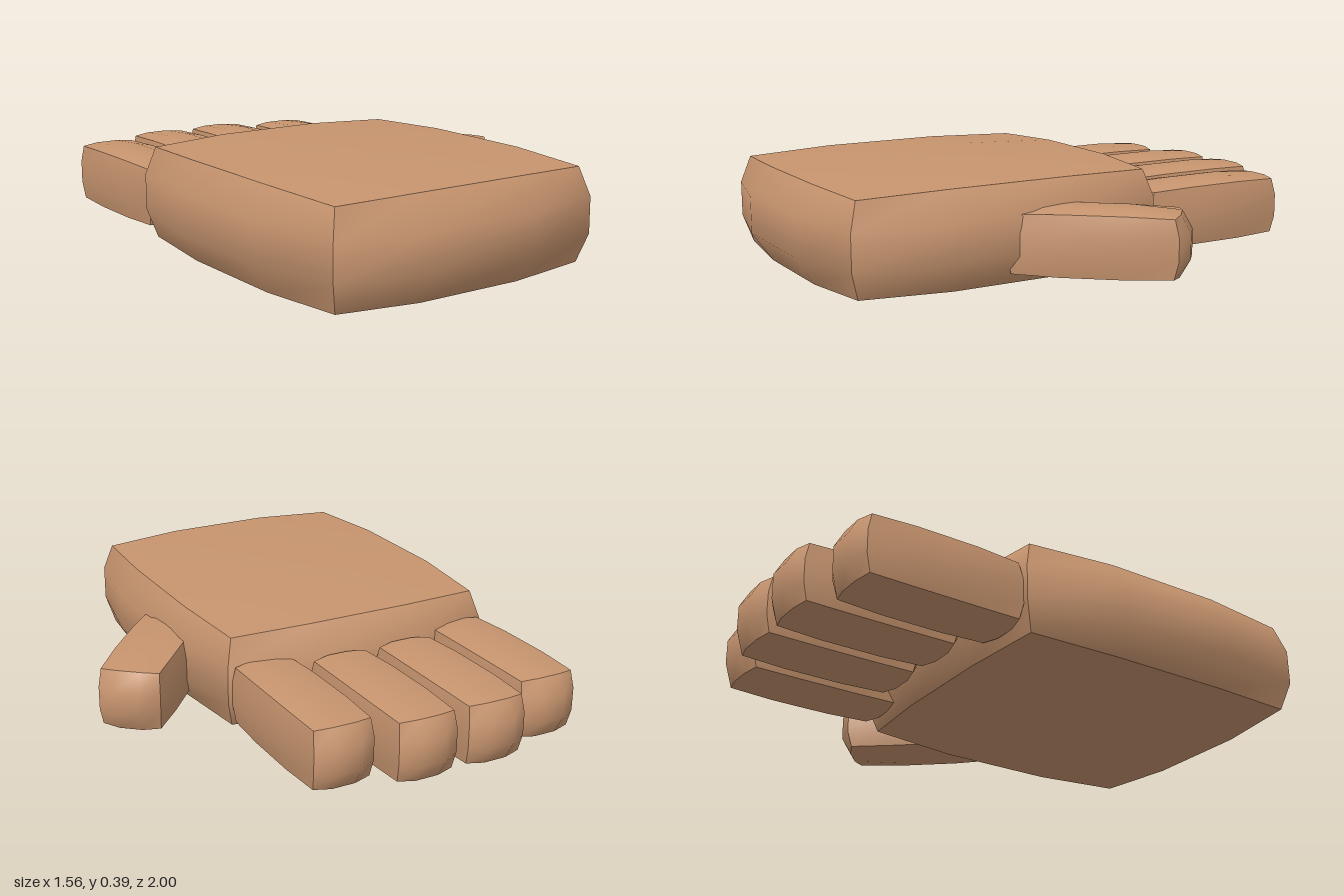
import * as THREE from 'three';

// Box whose six sides bulge outwards, smooth within each side and sharp between sides.
// Vertices on edges and corners are pulled in; hx, hy, hz are the half sizes at the bulge.
function bulgedBox(hx, hy, hz, yPull = [1, 0.89, 0.85]) {
  const geo = new THREE.BoxGeometry(2, 2, 2, 3, 3, 3);
  const pos = geo.attributes.position;
  const pull = [1, 0.89, 0.843]; // side, edge, corner
  const inner = [0.36, 0.34, 0.34];
  for (let i = 0; i < pos.count; i++) {
    const v = [pos.getX(i), pos.getY(i), pos.getZ(i)];
    const outer = v.map((c) => Math.abs(c) > 0.9);
    const k = outer.filter(Boolean).length - 1;
    const [x, y, z] = v.map((c, a) =>
      Math.sign(c) * (outer[a] ? (a === 1 ? yPull : pull)[k] : inner[k]));
    pos.setXYZ(i, x * hx, y * hy, z * hz);
  }
  geo.computeVertexNormals();
  return geo;
}

export function createModel() {
  const hand = new THREE.Group();
  hand.name = 'hand';
  const skin = new THREE.MeshStandardMaterial({ color: 0xc8956f });
  skin.name = 'skin';

  const add = (name, geo, x, y, z, turn = 0) => {
    const mesh = new THREE.Mesh(geo, skin);
    mesh.name = name;
    mesh.position.set(x, y, z);
    mesh.rotation.y = turn;
    hand.add(mesh);
  };

  // Palm
  add('palm', bulgedBox(0.605, 0.195, 0.68, [1, 0.92, 0.87]), -0.175, 0.195, 0.32);

  // Four fingers and the angled thumb share one shape
  const digit = bulgedBox(0.127, 0.125, 0.335);
  const fingers = [
    ['littleFinger', -0.583, -0.585],
    ['ringFinger', -0.31, -0.665],
    ['middleFinger', -0.037, -0.665],
    ['indexFinger', 0.235, -0.585],
  ];
  for (const [name, x, z] of fingers) add(name, digit, x, 0.165, z);
  add('thumb', digit, 0.5, 0.165, 0.06, -THREE.MathUtils.degToRad(40));

  return hand;
}
